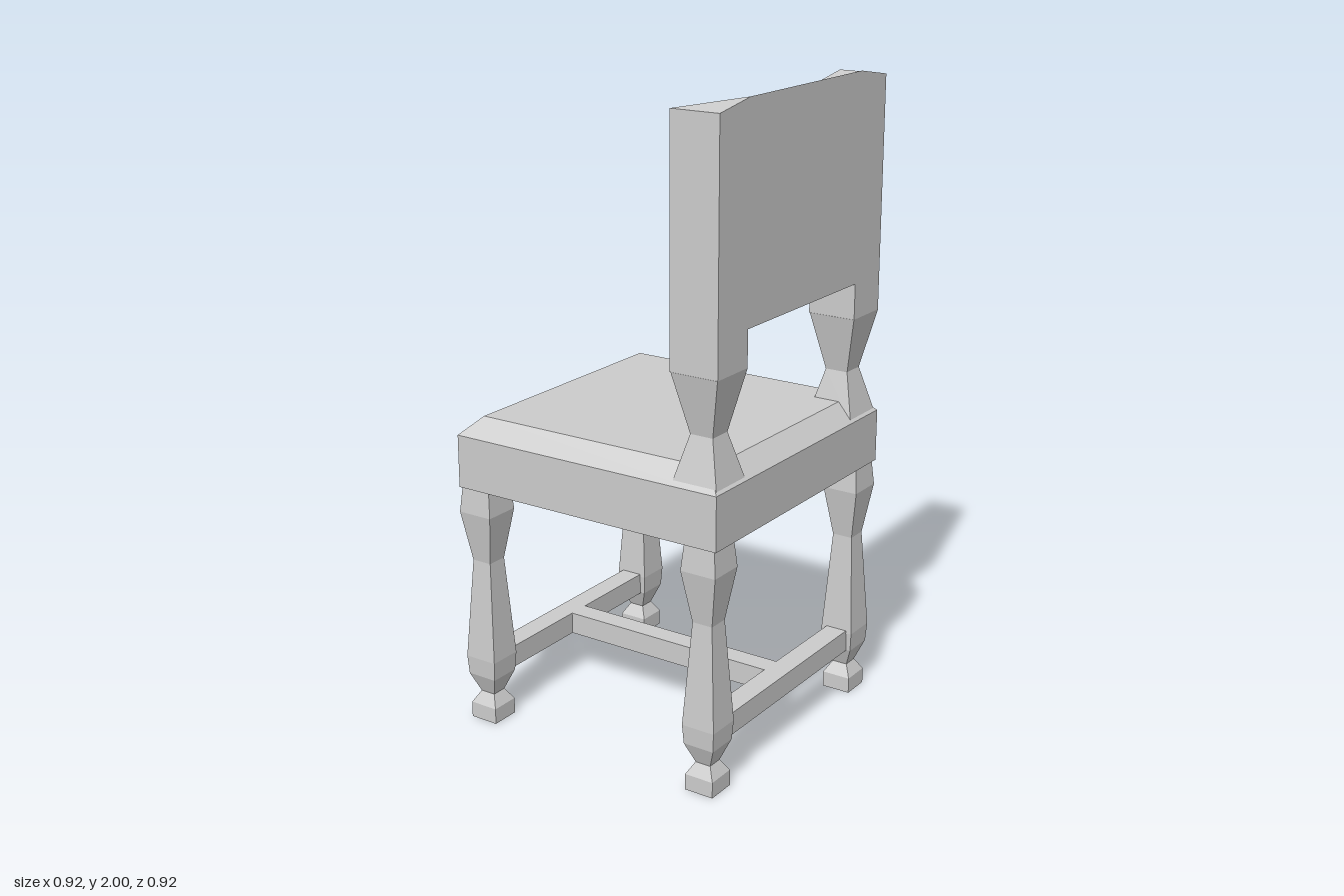
import * as THREE from 'three';

const material = new THREE.MeshStandardMaterial({ color: 0xcccccc, flatShading: true });

function add(parent, name, geometry, x = 0, y = 0, z = 0) {
  const mesh = new THREE.Mesh(geometry, material);
  mesh.name = name;
  mesh.position.set(x, y, z);
  parent.add(mesh);
  return mesh;
}

// Square turned piece from [half width, height] pairs, bottom to top, closed at both ends
function squareTurning(profile) {
  const points = profile.map(([half, y]) => new THREE.Vector2(half * Math.SQRT2, y));
  points.unshift(new THREE.Vector2(0, profile[0][1]));
  points.push(new THREE.Vector2(0, profile[profile.length - 1][1]));
  return new THREE.LatheGeometry(points, 4).rotateY(Math.PI / 4);
}

// Cushioned seat: a straight box below a bevelled top
function seatGeometry() {
  const shape = squareTurning([[0.46, 0.77], [0.46, 0.935], [0.403, 0.99]]);
  return shape;
}

// Upright slab with an open bottom between the posts, crowned at the rear and dipped at the front
function backGeometry() {
  const outline = new THREE.Shape([
    [-0.45, 1.26], [-0.3, 1.26], [-0.3, 1.37], [0.3, 1.37], [0.3, 1.26],
    [0.45, 1.26], [0.45, 1.975], [0.3, 2], [-0.3, 2], [-0.45, 1.975],
  ].map(([z, y]) => new THREE.Vector2(z, y)));
  const geometry = new THREE.ExtrudeGeometry(outline, { depth: 0.155, bevelEnabled: false });
  geometry.rotateY(Math.PI / 2).translate(0.3, 0, 0);
  const p = geometry.attributes.position;
  for (let i = 0; i < p.count; i++) {
    if (p.getY(i) > 1.99 && p.getX(i) < 0.31) p.setY(i, 1.95);
  }
  geometry.computeVertexNormals();
  return geometry;
}

export function createModel() {
  const chair = new THREE.Group();
  chair.name = 'chair';

  add(chair, 'seat', seatGeometry());
  add(chair, 'backPanel', backGeometry());

  // Legs with block feet
  const leg = squareTurning([
    [0.047, 0], [0.047, 0.05], [0.025, 0.087], [0.05, 0.15], [0.054, 0.21],
    [0.033, 0.53], [0.058, 0.69], [0.05, 0.775],
  ]);
  for (const x of [-0.404, 0.4]) {
    for (const z of [-0.402, 0.402]) add(chair, x < 0 ? 'frontLeg' : 'rearLeg', leg, x, 0, z);
  }

  // Waisted posts between the seat and the back
  const post = squareTurning([[0.075, 0.935], [0.037, 1.08], [0.076, 1.26]]);
  for (const z of [-0.375, 0.375]) add(chair, 'backPost', post, 0.379, 0, z);

  // H-shaped stretcher
  for (const x of [-0.404, 0.4]) {
    add(chair, 'sideStretcher', new THREE.BoxGeometry(0.07, 0.07, 0.74), x, 0.183, 0);
  }
  add(chair, 'middleStretcher', new THREE.BoxGeometry(0.74, 0.07, 0.07), 0, 0.183, 0);

  return chair;
}
